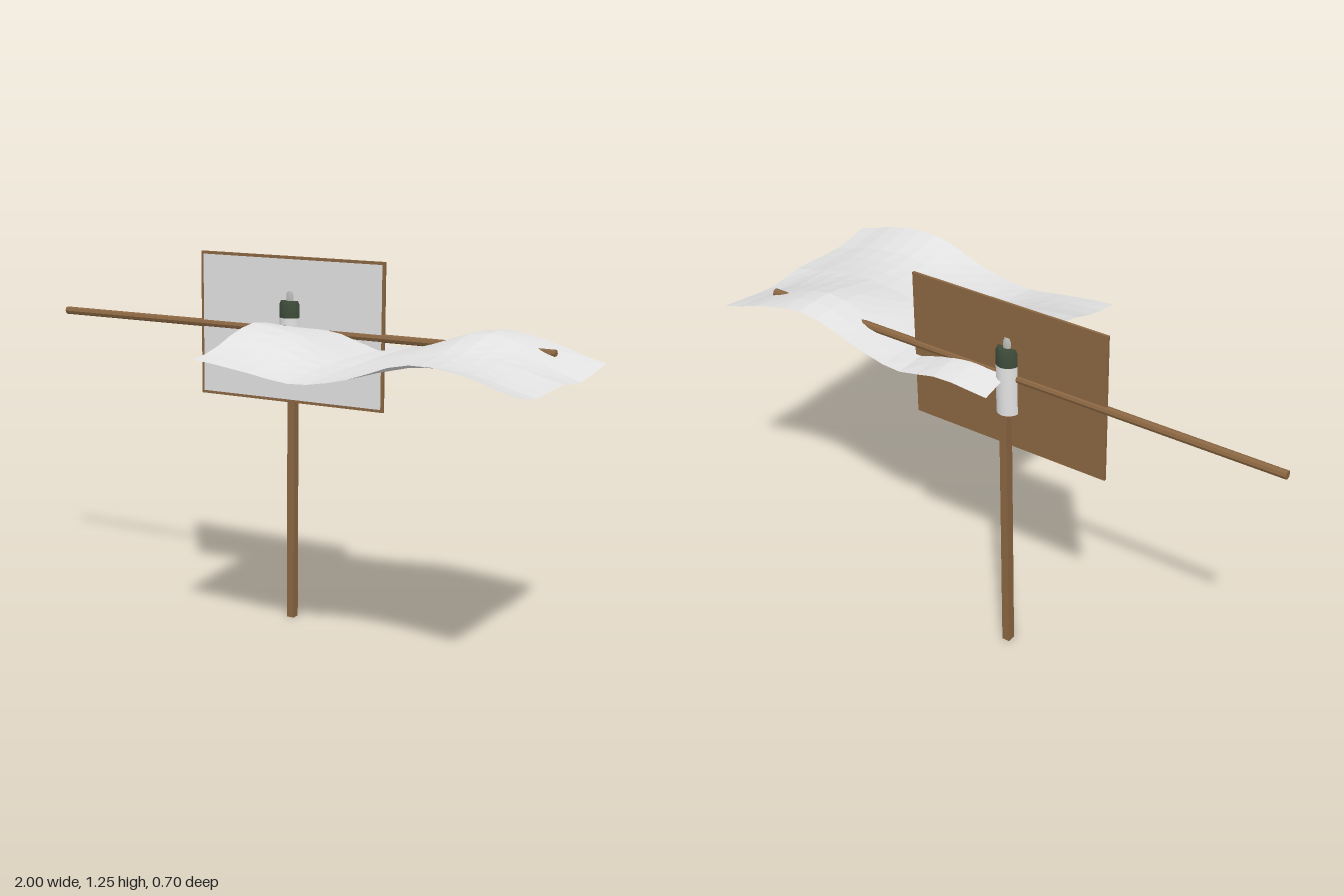
import * as THREE from 'three';
import { toCreasedNormals } from 'three/addons/utils/BufferGeometryUtils.js';

const paint = (name, color, extra = {}) => {
  const m = new THREE.MeshStandardMaterial({ color, ...extra });
  m.name = name;
  return m;
};

// Smooth curve through evenly spaced heights, sampled at t = 0..1
const along = (heights, t) => {
  const n = heights.length - 1;
  const i = Math.min(Math.floor(t * n), n - 1), f = t * n - i;
  const at = (k) => heights[Math.max(0, Math.min(n, k))];
  const [a, b, c, d] = [at(i - 1), at(i), at(i + 1), at(i + 2)];
  return b + 0.5 * f * (c - a + f * (2 * a - 5 * b + 4 * c - d + f * (3 * (b - c) + d - a)));
};

export function createModel() {
  const group = new THREE.Group();
  const wood = paint('wood brown', 0x8a6642);
  const cloth = paint('cloth white', 0xe2e2e2, { side: THREE.DoubleSide, flatShading: true });
  const white = paint('plain white', 0xe2e2e2);
  const green = paint('dark green', 0x3c4a38);
  const grey = paint('tip grey', 0xb4b4b0);

  const add = (name, geometry, material, x, y, z) => {
    const mesh = new THREE.Mesh(geometry, material);
    mesh.name = name;
    mesh.position.set(x, y, z);
    group.add(mesh);
    return mesh;
  };
  const turned = (points) => toCreasedNormals(
    new THREE.LatheGeometry(points.map(([r, y]) => new THREE.Vector2(r, y)), 16), 0.6);

  const axisX = -0.06, axisZ = -0.235;

  // Square upright post and eight-sided crossing pole
  add('post', new THREE.BoxGeometry(0.027, 0.95, 0.029), wood, axisX, 0.475, -0.252);
  const pole = toCreasedNormals(new THREE.CylinderGeometry(0.0135, 0.0135, 1.88, 8), 0.5);
  add('crossPole', pole, wood, -0.06, 1.008, axisZ).rotation.z = Math.PI / 2;

  // Board with a light panel inside its wooden rim
  add('board', new THREE.BoxGeometry(0.705, 0.492, 0.009), wood, -0.06, 1.009, axisZ);
  add('boardPanel', new THREE.BoxGeometry(0.686, 0.473, 0.002), white, -0.06, 1.009, axisZ + 0.0045);

  // Canister: body, shoulder cap and spray tip
  add('canisterBody', turned([[0, 0.885], [0.038, 0.885], [0.038, 1.055], [0, 1.055]]), white, axisX, 0, axisZ);
  add('canisterCap', turned([[0, 1.052], [0.0385, 1.052], [0.0385, 1.095], [0.033, 1.108], [0, 1.108]]), green, axisX, 0, axisZ);
  add('canisterTip', turned([[0, 1.105], [0.015, 1.105], [0.015, 1.127], [0.01, 1.139], [0, 1.139]]), grey, axisX, 0, axisZ);
  add('canisterStrip', new THREE.BoxGeometry(0.009, 0.07, 0.006), wood, axisX, 0.995, axisZ + 0.038);

  // Rippling cloth sheet: heights along x for seven lines, from back to front
  const lines = [
    [0.985, 0.995, 0.965, 1.005, 1.052, 1.025, 0.973],
    [1.015, 1.017, 0.967, 1.007, 1.061, 1.022, 0.957],
    [1.045, 1.025, 0.967, 1.003, 1.042, 1.01, 0.947],
    [1.063, 1.032, 0.967, 0.99, 1.018, 1.005, 0.963],
    [1.045, 1.02, 0.965, 0.982, 1.01, 0.998, 0.958],
    [1.01, 0.992, 0.96, 0.978, 1.015, 1.005, 0.957],
    [0.993, 0.972, 0.95, 0.98, 1.038, 1.03, 0.98],
  ];
  const sheet = new THREE.PlaneGeometry(1.06, 0.7, 16, 10).rotateX(-Math.PI / 2);
  const p = sheet.attributes.position;
  for (let i = 0; i < p.count; i++) {
    const u = p.getX(i) / 1.06 + 0.5, v = p.getZ(i) / 0.7 + 0.5;
    p.setY(i, along(lines.map((line) => along(line, u)), v));
  }
  sheet.computeVertexNormals();
  add('clothSheet', sheet, cloth, 0.47, 0, 0);

  return group;
}
